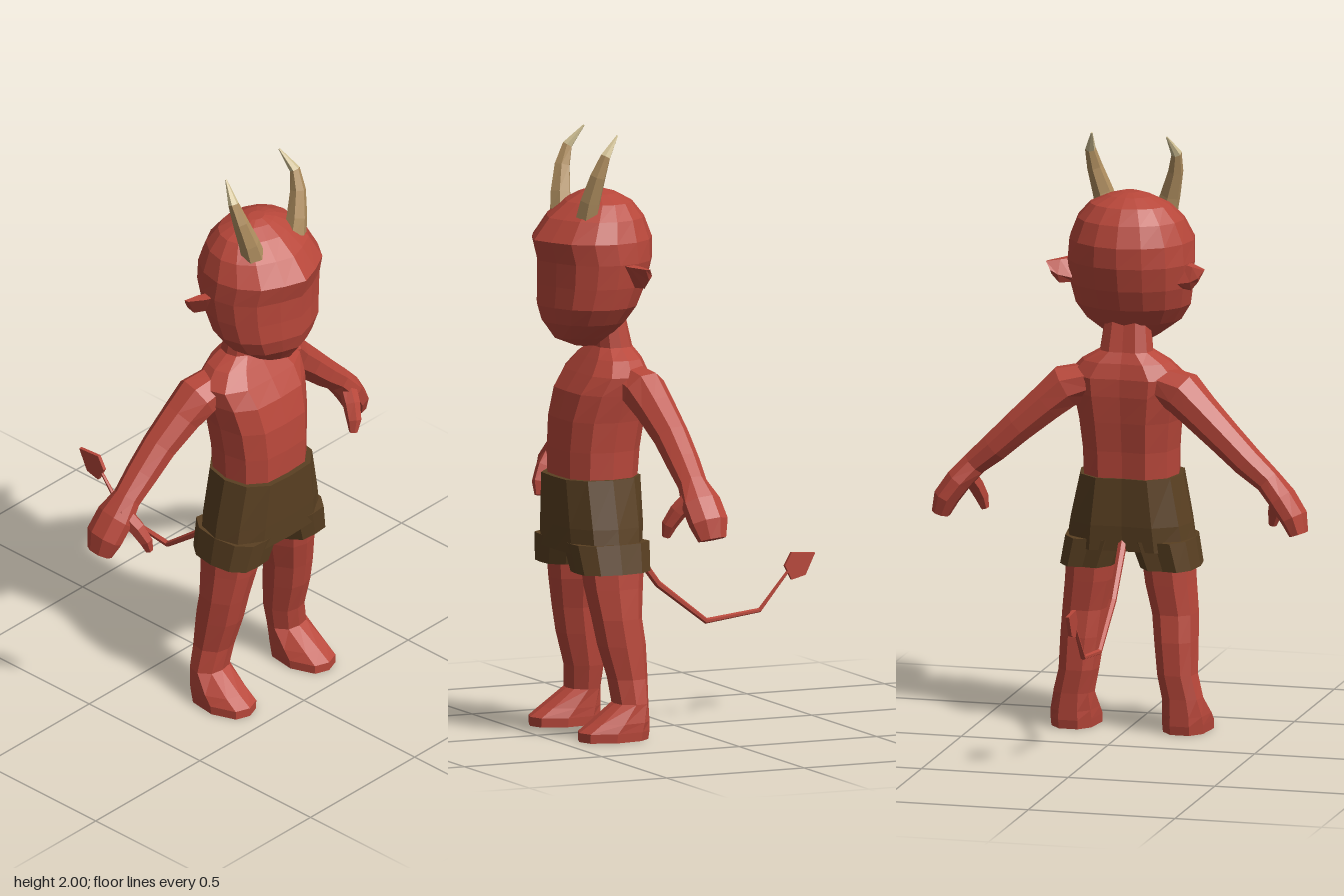
import * as THREE from 'three';

const red = new THREE.MeshStandardMaterial({ color: 0xb8473a });
red.name = 'red skin';
const brown = new THREE.MeshStandardMaterial({ color: 0x5a4022 });
brown.name = 'brown cloth';
const tan = new THREE.MeshStandardMaterial({ color: 0xb08f60 });
tan.name = 'tan horn';
const cream = new THREE.MeshStandardMaterial({ color: 0xd2c296 });
cream.name = 'pale horn tip';

// Faceted skin over a list of rings, closed at both ends
function loft(rings) {
  const pos = [];
  const tri = (a, b, c) => pos.push(...a, ...b, ...c);
  const n = rings[0].length;
  const mid = (r) => [0, 1, 2].map((k) => r.reduce((s, p) => s + p[k], 0) / n);
  const first = rings[0], last = rings[rings.length - 1];
  const c0 = mid(first), c1 = mid(last);
  for (let j = 0; j < n; j++) {
    const k = (j + 1) % n;
    for (let i = 0; i < rings.length - 1; i++) {
      const a = rings[i], b = rings[i + 1];
      tri(a[j], a[k], b[k]);
      tri(a[j], b[k], b[j]);
    }
    tri(c0, first[k], first[j]);
    tri(c1, last[j], last[k]);
  }
  const g = new THREE.BufferGeometry();
  g.setAttribute('position', new THREE.Float32BufferAttribute(pos, 3));
  g.computeVertexNormals();
  return g;
}

// Half outlines (front to back) as [x, z] ratios
const HEAD = [[0, 1], [0.35, 0.87], [0.7, 0.68], [0.92, 0.36], [1, 0], [0.92, -0.39], [0.71, -0.71], [0.38, -0.92], [0, -1]];
const BODY = [[0, 1], [0.55, 0.96], [0.9, 0.6], [1, 0], [0.88, -0.62], [0.5, -1], [0, -0.94]];
const LIMB = [[0, 1], [0.6, 0.85], [1, 0.15], [0.85, -0.65], [0.4, -1], [0, -1]];

// Horizontal rings from rows of [y, halfWidth, zBack, zFront, centreX]
function level(outline, rows) {
  const full = [...outline, ...outline.slice(1, -1).reverse().map(([x, z]) => [-x, z])];
  return rows.map(([y, w, zb, zf, cx = 0]) =>
    full.map(([x, z]) => [cx + x * w, y, (zb + zf) / 2 + (z * (zf - zb)) / 2]));
}

// Rings along a path of [x, y, z, radiusU, radiusV]
function along(path, hint, sides = 6) {
  const P = path.map((p) => new THREE.Vector3(p[0], p[1], p[2]));
  return path.map((p, i) => {
    const t = P[Math.min(i + 1, P.length - 1)].clone().sub(P[Math.max(i - 1, 0)]).normalize();
    const u = new THREE.Vector3(...hint);
    u.addScaledVector(t, -u.dot(t)).normalize();
    const v = t.clone().cross(u);
    return Array.from({ length: sides }, (_, j) => {
      const a = ((j + 0.5) / sides) * Math.PI * 2;
      return P[i].clone().addScaledVector(u, Math.cos(a) * p[3]).addScaledVector(v, Math.sin(a) * p[4]).toArray();
    });
  });
}

const mirror = (rings) => rings.map((r) => r.map(([x, y, z]) => [-x, y, z]).reverse());

export function createModel() {
  const group = new THREE.Group();
  const add = (name, geometry, material) => {
    const m = new THREE.Mesh(geometry, material);
    m.name = name;
    group.add(m);
  };
  const pair = (name, rings, material) => {
    add('left' + name, loft(rings), material);
    add('right' + name, loft(mirror(rings)), material);
  };

  // Head with a ridged, flat face and pointed chin
  add('head', loft(level(HEAD, [
    [1.29, 0.03, 0.27, 0.36], [1.32, 0.085, 0.24, 0.435], [1.375, 0.16, 0.195, 0.475],
    [1.43, 0.195, 0.155, 0.49], [1.5, 0.208, 0.125, 0.488], [1.58, 0.215, 0.105, 0.49],
    [1.65, 0.21, 0.103, 0.51], [1.72, 0.18, 0.13, 0.455], [1.77, 0.135, 0.17, 0.39],
    [1.797, 0.075, 0.22, 0.34], [1.808, 0.03, 0.26, 0.31],
  ])), red);

  // Ears sweep out and back
  pair('Ear', [
    [[0.18, 1.5, 0.24], [0.18, 1.52, 0.21], [0.18, 1.58, 0.255], [0.18, 1.585, 0.3]],
    [[0.225, 1.5, 0.215], [0.225, 1.53, 0.2], [0.225, 1.575, 0.23], [0.225, 1.575, 0.27]],
    [[0.25, 1.53, 0.21], [0.252, 1.545, 0.2], [0.27, 1.57, 0.215], [0.268, 1.57, 0.23]],
  ], red);

  // Curved horns with pale tips
  const horn = along([
    [0.1, 1.73, 0.365, 0.04, 0.04], [0.115, 1.785, 0.36, 0.035, 0.036], [0.138, 1.87, 0.343, 0.026, 0.028],
    [0.147, 1.935, 0.32, 0.018, 0.018], [0.128, 2, 0.268, 0.003, 0.003],
  ], [1, 0, 0]);
  pair('Horn', horn.slice(0, 4), tan);
  pair('HornTip', horn.slice(3), cream);

  // Torso and neck
  add('torso', loft(level(BODY, [
    [0.82, 0.16, 0.175, 0.425], [0.95, 0.163, 0.165, 0.427], [1.05, 0.173, 0.15, 0.42],
    [1.14, 0.19, 0.14, 0.395], [1.2, 0.2, 0.14, 0.355], [1.25, 0.15, 0.155, 0.32],
    [1.285, 0.09, 0.175, 0.295], [1.4, 0.075, 0.2, 0.3],
  ])), red);

  // Arms ending in mitten hands
  pair('Arm', along([
    [0.12, 1.18, 0.22, 0.07, 0.06], [0.2, 1.155, 0.205, 0.078, 0.075], [0.26, 1.1, 0.19, 0.068, 0.066],
    [0.35, 1.02, 0.175, 0.06, 0.058], [0.43, 0.945, 0.17, 0.056, 0.052], [0.5, 0.885, 0.17, 0.05, 0.044],
    [0.55, 0.83, 0.163, 0.07, 0.045], [0.592, 0.77, 0.155, 0.07, 0.043], [0.61, 0.715, 0.15, 0.05, 0.03],
  ], [0, 0, 1], 8), red);
  pair('Thumb', along([
    [0.54, 0.86, 0.18, 0.03, 0.03], [0.515, 0.8, 0.23, 0.03, 0.028],
    [0.5, 0.755, 0.255, 0.026, 0.024], [0.49, 0.715, 0.262, 0.014, 0.014],
  ], [0, 0, 1]), red);

  // Legs with forward feet
  pair('Leg', level(LIMB, [
    [0.03, 0.082, 0.195, 0.435, 0.19], [0.06, 0.08, 0.195, 0.39, 0.19], [0.12, 0.07, 0.195, 0.305, 0.185],
    [0.2, 0.068, 0.19, 0.315, 0.168], [0.31, 0.073, 0.193, 0.348, 0.16], [0.4, 0.077, 0.205, 0.365, 0.153],
    [0.5, 0.084, 0.195, 0.385, 0.137], [0.62, 0.088, 0.185, 0.4, 0.125],
  ]), red);
  pair('Sole', level(LIMB, [[0, 0.08, 0.2, 0.435, 0.19], [0.03, 0.082, 0.195, 0.435, 0.19]]), red);

  // Shorts: hips and two legs
  add('shortsHips', loft(level(BODY, [
    [0.615, 0.222, 0.17, 0.435], [0.7, 0.208, 0.163, 0.44], [0.86, 0.174, 0.165, 0.445],
  ])), brown);
  pair('ShortsLeg', level(BODY, [
    [0.553, 0.098, 0.175, 0.422, 0.137], [0.65, 0.108, 0.168, 0.435, 0.11],
  ]), brown);

  // Tail and its flat spade tip
  add('tail', loft(along([
    [0, 0.68, 0.21, 0.015, 0.014], [0, 0.615, 0.165, 0.015, 0.014], [0, 0.475, 0.06, 0.013, 0.012],
    [0, 0.34, -0.115, 0.011, 0.01], [0, 0.363, -0.31, 0.009, 0.008], [0, 0.5, -0.425, 0.005, 0.005],
  ], [1, 0, 0])), red);
  const spade = [[0.505, -0.4], [0.548, -0.425], [0.542, -0.51], [0.47, -0.475], [0.457, -0.425]];
  add('tailSpade', loft([-0.006, 0.006].map((x) => spade.map(([y, z]) => [x, y, z]).reverse())), red);

  return group;
}
